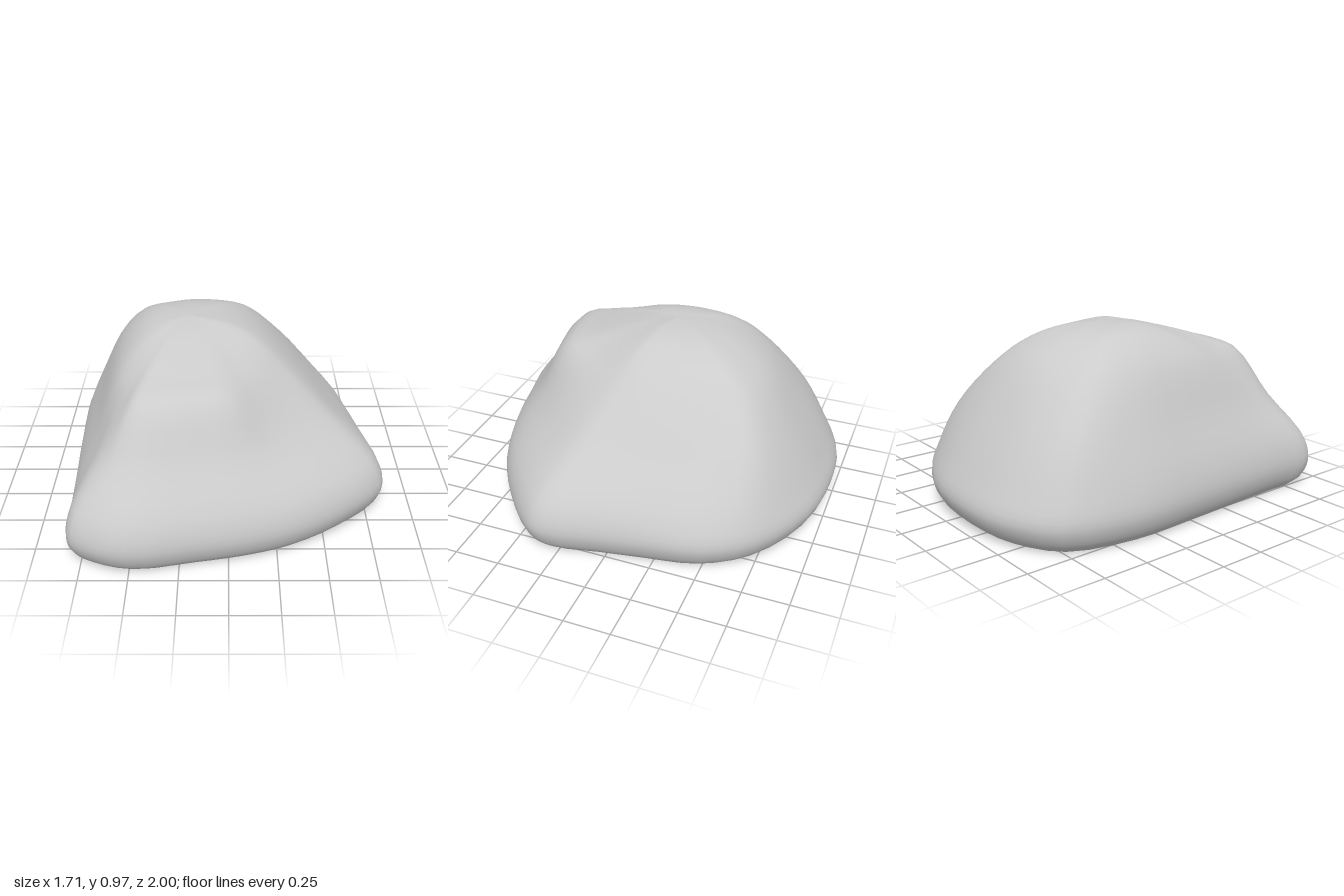
import * as THREE from 'three';
import { mergeVertices } from 'three/addons/utils/BufferGeometryUtils.js';

// Each column of the boulder: [foot x, foot z, shoulder x, shoulder y, shoulder z, flank bulge]
const COLUMNS = [
  [-0.81, 0.87, -0.53, 0.74, 0.53], [-0.71, 0.945, -0.48, 0.77, 0.60],
  [-0.51, 1.00, -0.38, 0.78, 0.62], [-0.20, 0.945, -0.20, 0.79, 0.60],
  [0.10, 0.88, 0.00, 0.78, 0.55], [0.35, 0.79, 0.13, 0.75, 0.42],
  [0.60, 0.63, 0.22, 0.74, 0.30], [0.82, 0.42, 0.28, 0.75, 0.18],
  [0.85, 0.31, 0.30, 0.76, 0.10], [0.80, 0.05, 0.31, 0.755, -0.05],
  [0.755, -0.20, 0.30, 0.74, -0.25], [0.69, -0.52, 0.26, 0.73, -0.45],
  [0.53, -0.76, 0.19, 0.74, -0.57, 0.09], [0.20, -0.95, 0.00, 0.77, -0.61, 0.03],
  [-0.18, -1.00, -0.20, 0.78, -0.61], [-0.48, -0.96, -0.42, 0.76, -0.57, 0.03],
  [-0.74, -0.80, -0.56, 0.76, -0.47, 0.09], [-0.85, -0.42, -0.61, 0.77, -0.25, 0.02],
  [-0.845, 0.00, -0.61, 0.77, 0.00], [-0.825, 0.42, -0.59, 0.76, 0.25],
  [-0.815, 0.70, -0.56, 0.74, 0.42],
];
const CENTRE = new THREE.Vector2(-0.22, -0.05);
const AROUND = 63, UP = 32;

// Height of the crown: rounded sideways, a gentle ramp to the front, steeper at the back
function crownHeight(x, z) {
  const dx = x + 0.24;
  const side = 0.2 * (Math.abs(dx) / (dx < 0 ? 0.38 : 0.54)) ** 2.8;
  const end = 0.17 * (z > 0 ? (z / 0.58) ** 1.2 : (-z / 0.55) ** 2.8);
  return 0.97 - side - end;
}

// Control points of one column, from the tucked-in rim to the middle of the crown
function columnPoints([fx, fz, sx, sy, sz, bulge = 0]) {
  const foot = new THREE.Vector3(fx, 0.15, fz);
  const shoulder = new THREE.Vector3(sx, sy, sz);
  const slope = (t, y) => foot.clone().lerp(shoulder, t).setY(y);
  const crown = (t) => {
    const x = THREE.MathUtils.lerp(sx, CENTRE.x, t), z = THREE.MathUtils.lerp(sz, CENTRE.y, t);
    const offset = (sy - crownHeight(sx, sz)) * (1 - t) ** 2;
    return new THREE.Vector3(x, crownHeight(x, z) + offset, z);
  };
  return [
    new THREE.Vector3(fx * 0.91, 0, fz * 0.91),
    new THREE.Vector3(fx * 0.965, 0.05, fz * 0.965),
    foot,
    slope(0.1 + 0.07 * Math.max(0, -fz) - bulge * 0.4, 0.29),
    slope(0.53 + 0.04 * Math.max(0, fz) - bulge, 0.3 + 0.47 * (sy - 0.3)),
    shoulder,
    ...[0.25, 0.5, 0.75, 1].map(crown),
  ];
}

// Loft a skin through smooth closed rings; the underside stays open
function boulderGeometry() {
  const columns = COLUMNS.map(columnPoints);
  const rings = columns[0].map((_, level) =>
    new THREE.CatmullRomCurve3(columns.map((c) => c[level]), true));

  const positions = [], index = [];
  for (let i = 0; i < AROUND; i++) {
    const curve = new THREE.CatmullRomCurve3(rings.map((ring) => ring.getPoint(i / AROUND)));
    for (let j = 0; j <= UP; j++) {
      const p = curve.getPoint(j / UP);
      positions.push(p.x, Math.max(0, p.y), p.z);
    }
  }
  const at = (i, j) => (i % AROUND) * (UP + 1) + j;
  for (let i = 0; i < AROUND; i++) {
    for (let j = 0; j < UP; j++) {
      index.push(at(i, j), at(i + 1, j), at(i, j + 1));
      if (j < UP - 1) index.push(at(i + 1, j), at(i + 1, j + 1), at(i, j + 1));
    }
  }
  const geometry = new THREE.BufferGeometry();
  geometry.setAttribute('position', new THREE.Float32BufferAttribute(positions, 3));
  geometry.setIndex(index);
  const merged = mergeVertices(geometry, 1e-4);
  merged.computeVertexNormals();
  return merged;
}

export function createModel() {
  const group = new THREE.Group();
  group.name = 'rock';
  const material = new THREE.MeshStandardMaterial({ color: 0xcccccc, side: THREE.DoubleSide });
  const boulder = new THREE.Mesh(boulderGeometry(), material);
  boulder.name = 'boulder';
  group.add(boulder);
  return group;
}
